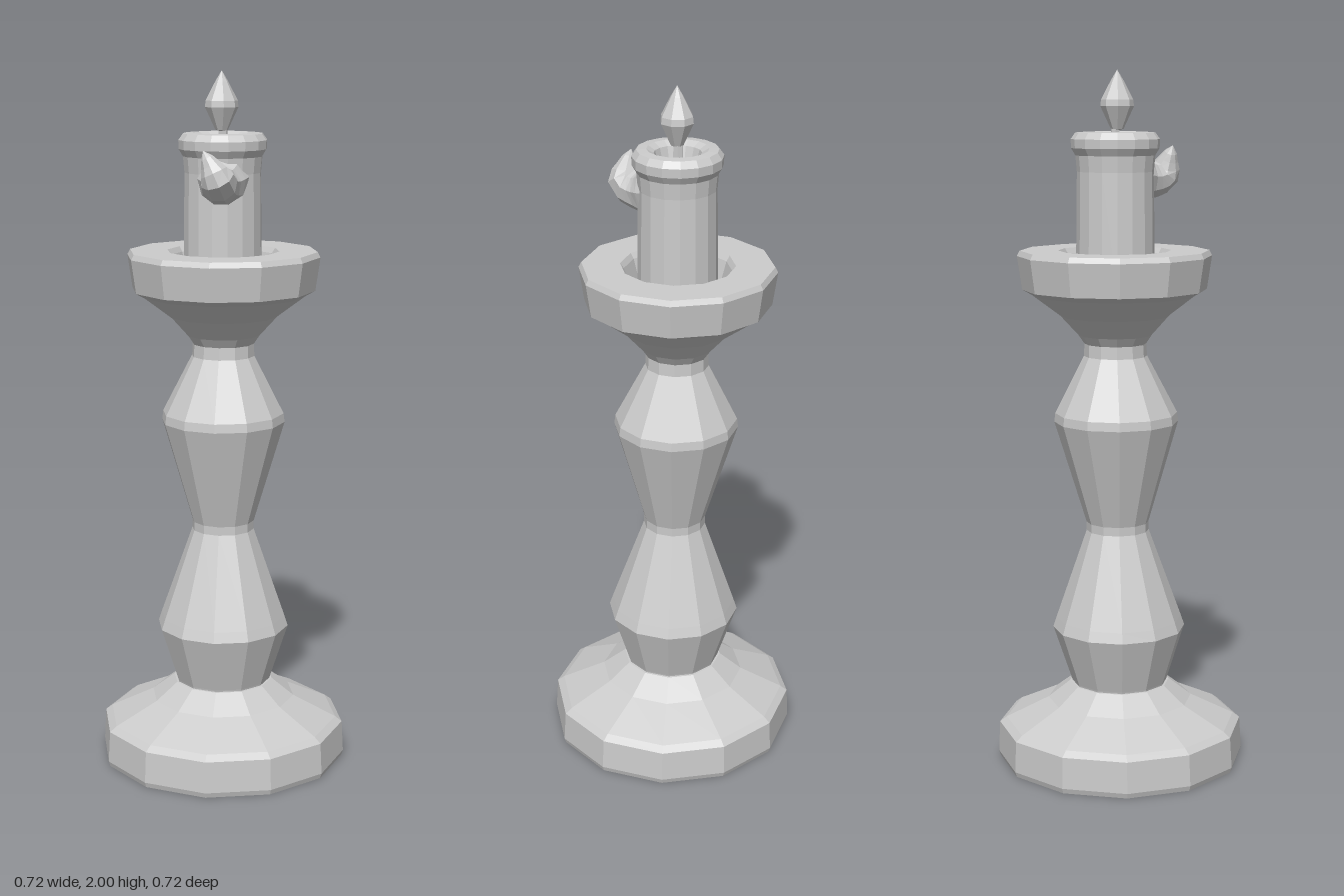
import * as THREE from 'three';

const grey = new THREE.MeshStandardMaterial({ color: 0xcccccc, flatShading: true });

// Faceted turned part from [radius, height] pairs, listed from the bottom up
function turned(name, profile, sides) {
  const points = profile.map(([r, y]) => new THREE.Vector2(r, y));
  const mesh = new THREE.Mesh(new THREE.LatheGeometry(points, sides), grey);
  mesh.name = name;
  return mesh;
}

// The column leans a little towards +x and -z as it rises
function lean(mesh) {
  const pos = mesh.geometry.attributes.position;
  for (let i = 0; i < pos.count; i++) {
    const t = Math.min(pos.getY(i) / 1.38, 1);
    pos.setX(i, pos.getX(i) + 0.017 * t);
    pos.setZ(i, pos.getZ(i) - 0.012 * t);
  }
  mesh.geometry.computeVertexNormals();
  return mesh;
}

// Hooked wax drip: a tube whose rings taper to a point
function waxDrip() {
  const path = new THREE.CatmullRomCurve3([
    [-0.04, 1.70, 0.03], [-0.09, 1.695, 0.06], [-0.125, 1.71, 0.08],
    [-0.14, 1.75, 0.068], [-0.151, 1.79, 0.05],
  ].map((p) => new THREE.Vector3(...p)));
  const steps = 9, sides = 9;
  const geometry = new THREE.TubeGeometry(path, steps, 1, sides, false);
  const radii = [0.075, 0.068, 0.058, 0.053, 0.051, 0.048, 0.039, 0.028, 0.018, 0.001];
  const pos = geometry.attributes.position;
  const v = new THREE.Vector3();
  for (let i = 0; i < pos.count; i++) {
    const ring = Math.floor(i / (sides + 1));
    const centre = path.getPointAt(ring / steps);
    v.fromBufferAttribute(pos, i).sub(centre).multiplyScalar(radii[ring]).add(centre);
    pos.setXYZ(i, v.x, v.y, v.z);
  }
  geometry.computeVertexNormals();
  const mesh = new THREE.Mesh(geometry, grey);
  mesh.name = 'waxDrip';
  return mesh;
}

export function createModel() {
  const group = new THREE.Group();
  group.name = 'candlestick';

  group.add(lean(turned('foot', [
    [0, 0.005], [0.355, 0.005], [0.36, 0.02], [0.355, 0.11], [0.335, 0.125],
    [0.21, 0.185], [0.145, 0.235], [0, 0.24],
  ], 12)));

  group.add(lean(turned('stem', [
    [0.135, 0.22], [0.14, 0.24], [0.192, 0.4], [0.182, 0.43], [0.09, 0.69],
    [0.09, 0.715], [0.178, 1.01], [0.175, 1.035], [0.09, 1.2], [0.088, 1.24],
    [0.1, 1.26],
  ], 12)));

  // Drip pan with a recessed well around the candle
  group.add(lean(turned('dripPan', [
    [0.088, 1.235], [0.105, 1.26], [0.155, 1.315], [0.235, 1.375], [0.262, 1.39],
    [0.276, 1.485], [0.268, 1.5], [0.16, 1.5], [0.15, 1.485], [0.125, 1.4], [0, 1.4],
  ], 12)));

  // Candle with a rolled rim and a hollow around the wick
  const candle = new THREE.Group();
  candle.name = 'candle';
  candle.position.set(0.015, 0, -0.012);
  candle.add(turned('wax', [
    [0.112, 1.39], [0.108, 1.72], [0.112, 1.765], [0.124, 1.785], [0.125, 1.81],
    [0.112, 1.828], [0.085, 1.83], [0.065, 1.818], [0.052, 1.77], [0, 1.765],
  ], 16));
  candle.add(turned('wick', [[0.015, 1.76], [0.013, 1.85]], 6));
  candle.add(turned('flame', [
    [0, 1.832], [0.018, 1.838], [0.047, 1.9], [0.045, 1.918], [0.018, 1.97], [0, 2],
  ], 8));
  candle.children[2].position.x = -0.005;
  group.add(candle);

  group.add(waxDrip());
  return group;
}
